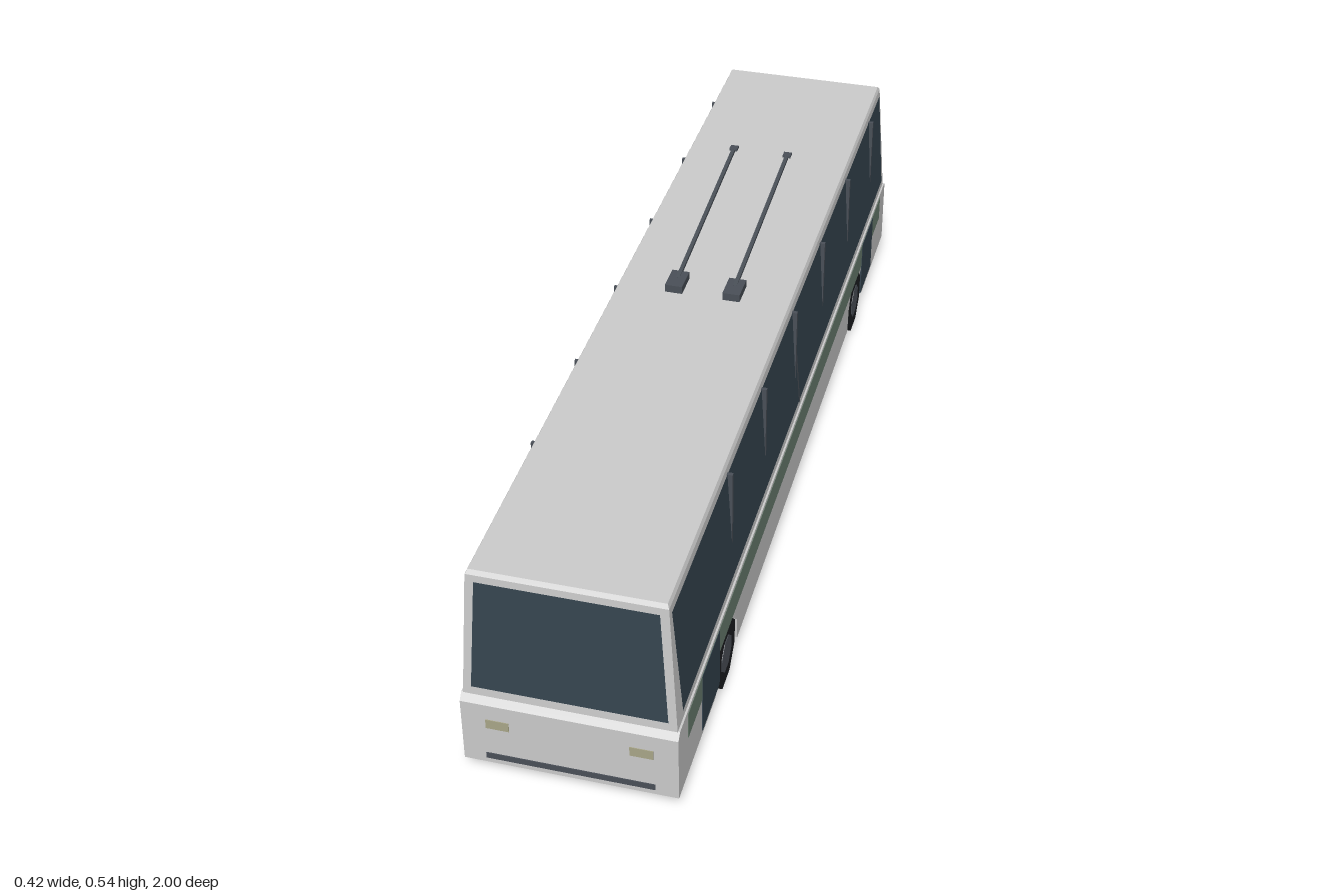
import * as THREE from 'three';

const material = (color) => new THREE.MeshStandardMaterial({ color, flatShading: true, side: THREE.DoubleSide });
const grey = material(0xcccccc), glass = material(0x35444f), dark = material(0x4a5058);
const green = material(0x6c8172), rubber = material(0x1c1f22), metal = material(0x50555c);
const lampFront = material(0xa9a688), lampRear = material(0x7a2222);

// Cabin outline at height y: half width, front z and rear z
const Y0 = 0.197, Y1 = 0.475;
const cabin = (y) => {
  const t = (y - Y0) / (Y1 - Y0);
  return { y, x: 0.204 - 0.017 * t, front: 0.99 - 0.015 * t, rear: -0.994 + 0.022 * t };
};

function add(group, name, geometry, mat, x = 0, y = 0, z = 0) {
  const mesh = new THREE.Mesh(geometry, mat);
  mesh.name = name;
  mesh.position.set(x, y, z);
  group.add(mesh);
  return mesh;
}

const box = (w, h, d) => new THREE.BoxGeometry(w, h, d);

// Stack of rectangular rings joined by walls and closed with a lid
function loft(rings) {
  const pos = [], index = [];
  for (const r of rings) {
    pos.push(-r.x, r.y, r.front, r.x, r.y, r.front, r.x, r.y, r.rear, -r.x, r.y, r.rear);
  }
  for (let i = 0; i < rings.length - 1; i++) {
    for (let j = 0; j < 4; j++) {
      const a = i * 4 + j, b = i * 4 + (j + 1) % 4;
      index.push(a, b, b + 4, a, b + 4, a + 4);
    }
  }
  const top = (rings.length - 1) * 4;
  index.push(top, top + 1, top + 2, top, top + 2, top + 3);
  return finish(pos, index);
}

function finish(pos, index) {
  const g = new THREE.BufferGeometry();
  g.setAttribute('position', new THREE.Float32BufferAttribute(pos, 3));
  g.setIndex(index);
  const flat = g.toNonIndexed();
  flat.computeVertexNormals();
  return flat;
}

// Four corners in counter-clockwise order seen from outside
const quad = (...corners) => finish(corners.flat(), [0, 1, 2, 0, 2, 3]);

// Lower body: side profile with wheel arches, extruded across the width
function lowerBody() {
  const s = new THREE.Shape();
  s.moveTo(-1, 0.037);
  for (const c of [-0.64, 0.64]) {
    for (const [d, y] of [[-0.085, 0.037], [-0.08, 0.09], [-0.055, 0.138], [0.055, 0.138], [0.08, 0.09], [0.085, 0.037]]) {
      s.lineTo(c + d, y);
    }
  }
  s.lineTo(1, 0.037);
  s.lineTo(1, 0.183);
  s.lineTo(0.988, 0.197);
  s.lineTo(-0.995, 0.197);
  s.lineTo(-1, 0.19);
  s.closePath();
  const g = new THREE.ExtrudeGeometry(s, { depth: 0.416, bevelEnabled: false });
  return g.translate(0, 0, -0.208).rotateY(-Math.PI / 2);
}

export function createModel() {
  const model = new THREE.Group();
  model.name = 'trolleybus';

  add(model, 'lowerBody', lowerBody(), grey);
  add(model, 'cabin', loft([cabin(Y0), cabin(Y1), { y: 0.483, x: 0.183, front: 0.969, rear: -0.966 }]), grey);

  // Windscreen and rear window
  const lo = cabin(0.216), hi = cabin(0.461), out = 0.0015;
  const f0 = lo.front + out, f1 = hi.front + out, r0 = lo.rear - out, r1 = hi.rear - out;
  add(model, 'windscreen', quad([-0.187, lo.y, f0], [0.187, lo.y, f0], [0.171, hi.y, f1], [-0.171, hi.y, f1]), glass);
  add(model, 'rearWindow', quad([0.187, lo.y, r0], [-0.187, lo.y, r0], [-0.171, hi.y, r1], [0.171, hi.y, r1]), glass);

  for (const s of [1, -1]) {
    const side = new THREE.Group();
    side.name = s > 0 ? 'leftSide' : 'rightSide';
    model.add(side);

    // Long side window
    const x0 = s * (lo.x + out), x1 = s * (hi.x + out);
    const c = [[x0, lo.y, 0.953], [x0, lo.y, -0.971], [x1, hi.y, -0.96], [x1, hi.y, 0.965]];
    add(side, 'sideWindow', quad(...(s > 0 ? c : c.reverse())), glass);

    // Upright bars emerging from the sloping glass
    for (let i = 0; i < 6; i++) {
      add(side, 'windowBar', box(0.012, 0.166, 0.008), dark, s * 0.1935, 0.378, 0.567 - i * 0.279);
    }
    // Slanted middle post following the glass
    const p0 = s * (lo.x + 0.003), p1 = s * (hi.x + 0.003);
    const post = [[p0, lo.y, -0.006], [p0, lo.y, -0.015], [p1, hi.y, 0.001], [p1, hi.y, 0.01]];
    add(side, 'middlePost', quad(...(s > 0 ? post : post.reverse())), dark);

    add(side, 'stripe', box(0.002, 0.06, 1.87), green, s * 0.208, 0.16, 0);

    for (const e of [1, -1]) {
      add(side, 'door', box(0.003, 0.14, 0.13), glass, s * 0.2085, 0.12, e * 0.77);

      // Wheel with hub
      const wheel = new THREE.Group();
      wheel.name = 'wheel';
      wheel.position.set(s * 0.192, 0.07, e * 0.64);
      side.add(wheel);
      const turn = (r, w) => new THREE.CylinderGeometry(r, r, w, 8).rotateX(0)
        .rotateY(Math.PI / 8).rotateZ(Math.PI / 2);
      add(wheel, 'tyre', turn(0.0755, 0.029), rubber);
      add(wheel, 'hub', turn(0.04, 0.002), metal, s * 0.0148);
    }

    // Lamps
    add(side, 'headlight', box(0.045, 0.021, 0.003), lampFront, s * 0.138, 0.137, 1);
    add(side, 'tailLight', box(0.04, 0.022, 0.003), lampRear, s * 0.14, 0.137, -1);

    // Current collector: foot, rising pole and contact head
    const collector = new THREE.Group();
    collector.name = 'currentCollector';
    collector.position.x = s * 0.062;
    side.add(collector);
    add(collector, 'collectorFoot', box(0.037, 0.017, 0.06), dark, 0, 0.4915, 0.004);
    const from = new THREE.Vector3(0, 0.497, 0), to = new THREE.Vector3(0, 0.538, -0.49);
    const pole = add(collector, 'collectorPole', box(0.008, 0.007, from.distanceTo(to)), dark);
    pole.position.copy(from).lerp(to, 0.5);
    pole.rotation.x = Math.atan2(to.y - from.y, from.z - to.z);
    add(collector, 'collectorHead', box(0.018, 0.005, 0.018), dark, 0, 0.539, -0.492);
  }

  // Bumper strips
  for (const e of [1, -1]) {
    add(model, e > 0 ? 'frontBumper' : 'rearBumper', box(0.327, 0.013, 0.004), dark, 0, 0.0555, e);
  }
  return model;
}
